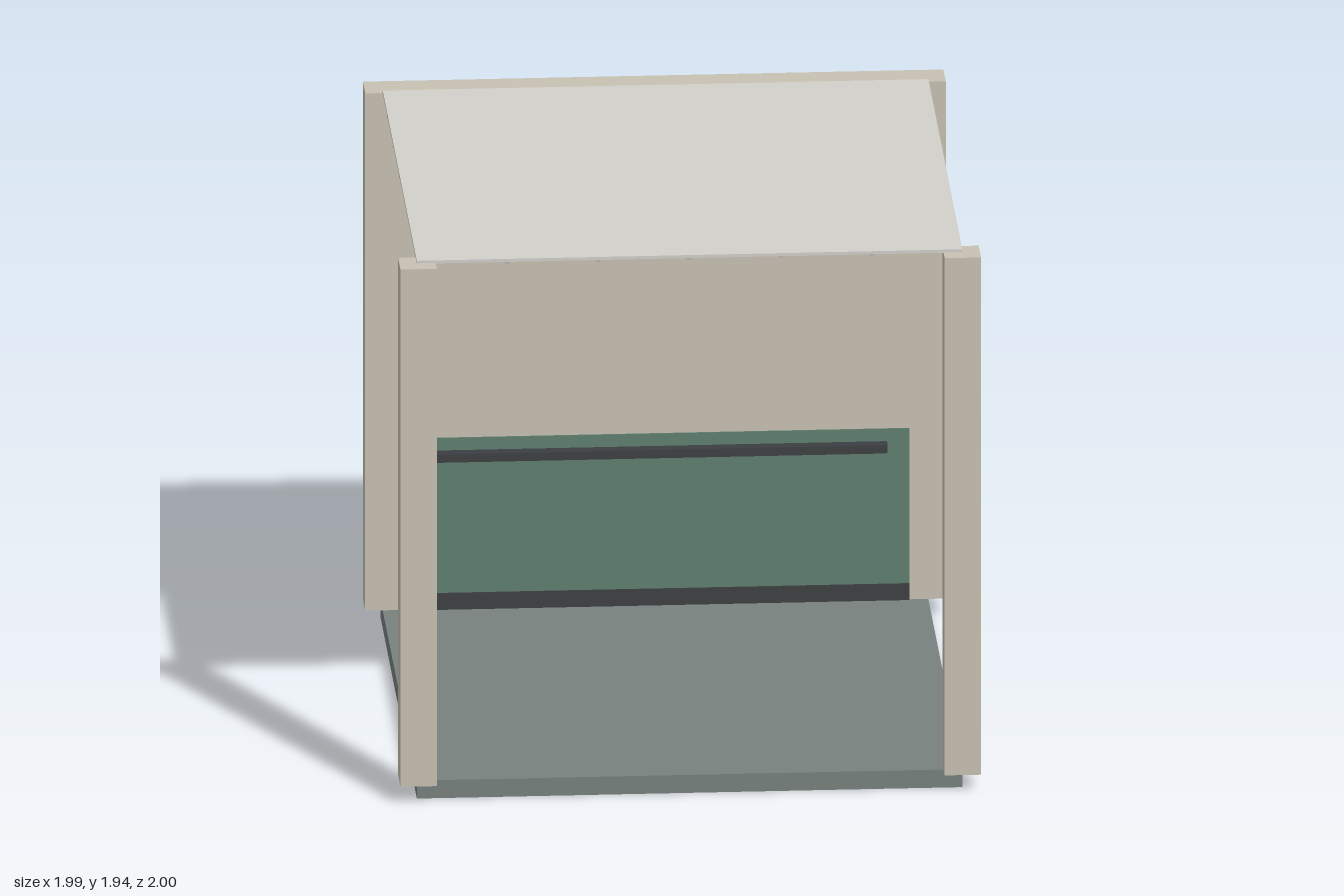
import * as THREE from 'three';

const paint = (color) => new THREE.MeshStandardMaterial({ color });

export function createModel() {
  const room = new THREE.Group();
  room.name = 'roomModule';
  const wallMat = paint(0xc8c1b2);
  const floorMat = paint(0x77817e);
  const darkMat = paint(0x3c3f42);
  const greenMat = paint(0x5f8070);
  const ceilingMat = paint(0xd2d0cb);
  const gridMat = paint(0xb4b2ad);
  const lightMat = paint(0xf2f0e8);

  // Box given by its extents along each axis
  function block(name, mat, [x0, x1], [y0, y1], [z0, z1], parent = room) {
    const mesh = new THREE.Mesh(new THREE.BoxGeometry(x1 - x0, y1 - y0, z1 - z0), mat);
    mesh.position.set((x0 + x1) / 2, (y0 + y1) / 2, (z0 + z1) / 2);
    mesh.name = name;
    parent.add(mesh);
    return mesh;
  }

  // Floor slab, back wall and the two front posts
  block('floor', floorMat, [-0.935, 0.935], [0, 0.065], [-0.992, 0.935]);
  block('backWall', wallMat, [-0.995, 0.995], [0.065, 1.935], [-0.992, -0.867]);
  block('leftPost', wallMat, [0.87, 0.995], [0.065, 1.935], [0.873, 0.998]);
  block('rightPost', wallMat, [-0.995, -0.87], [0.065, 1.935], [0.873, 0.998]);

  // Wall protection panel and skirting on both wall faces
  block('wallPanel', greenMat, [-0.87, 0.87], [0.065, 0.685], [-0.867, -0.863]);
  block('innerSkirting', darkMat, [-0.87, 0.87], [0.065, 0.125], [-0.867, -0.859]);
  block('outerSkirting', darkMat, [-0.935, 0.935], [0.065, 0.125], [-1, -0.992]);

  // Handrail with chamfered front corners, drawn in plan and extruded upwards
  const plan = new THREE.Shape([
    [-0.793, 0.865], [-0.793, 0.83], [-0.783, 0.82],
    [0.783, 0.82], [0.793, 0.83], [0.793, 0.865],
  ].map(([x, y]) => new THREE.Vector2(x, y)));
  const railGeo = new THREE.ExtrudeGeometry(plan, { depth: 0.03, bevelEnabled: false });
  railGeo.rotateX(-Math.PI / 2);
  const rail = new THREE.Mesh(railGeo, darkMat);
  rail.name = 'handrail';
  rail.position.y = 0.61;
  room.add(rail);

  // Suspended ceiling: slab, grid bars and light panel
  const ceiling = new THREE.Group();
  ceiling.name = 'ceiling';
  room.add(ceiling);
  block('ceilingSlab', ceilingMat, [-0.935, 0.935], [1.933, 1.944], [-0.867, 0.935], ceiling);
  for (let i = -2; i <= 2; i++) {
    const c = i * 0.312;
    block('lengthwiseBar', gridMat, [c - 0.007, c + 0.007], [1.926, 1.934], [-0.867, 0.935], ceiling);
    block('crosswiseBar', gridMat, [-0.935, 0.935], [1.927, 1.934], [c - 0.007, c + 0.007], ceiling);
  }
  block('lightPanel', lightMat, [-0.312, 0.312], [1.913, 1.934], [-0.156, 0.156], ceiling);

  return room;
}
